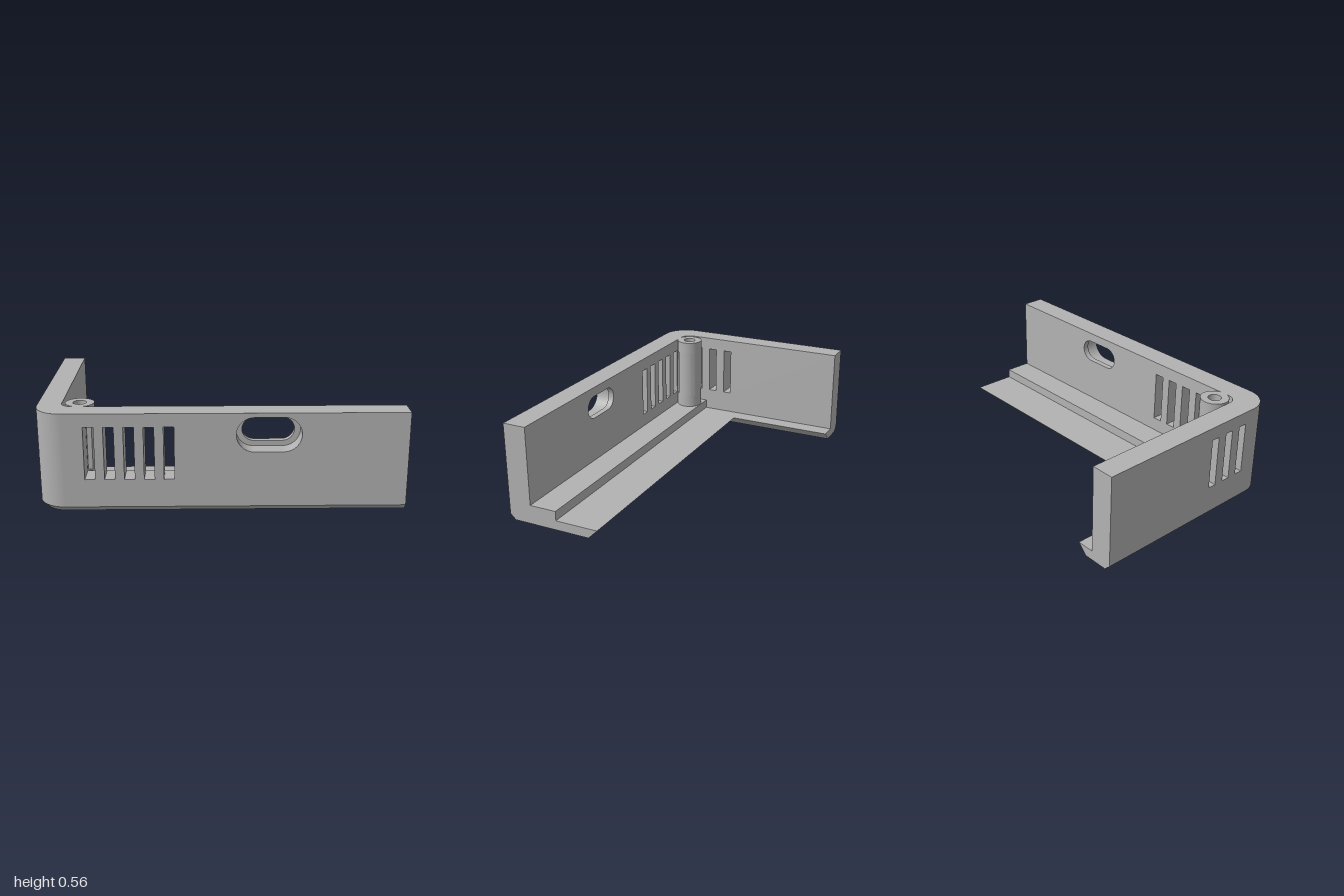
import * as THREE from 'three';
import { toCreasedNormals } from 'three/addons/utils/BufferGeometryUtils.js';

const WALL_TOP = 0.56, FLOOR = 0.055, STEP = 0.11;
const SLOT_LOW = 0.19, SLOT_HIGH = 0.485;

const V = (x, y) => new THREE.Vector2(x, y);

function rectPath(x0, x1, y0, y1) {
  return [V(x0, y0), V(x1, y0), V(x1, y1), V(x0, y1)];
}

// Rounded slot, open circle ends
function stadium(x0, x1, y0, y1) {
  const r = (y1 - y0) / 2, cy = (y0 + y1) / 2;
  const path = new THREE.Path();
  path.absarc(x1 - r, cy, r, -Math.PI / 2, Math.PI / 2, false);
  path.absarc(x0 + r, cy, r, Math.PI / 2, Math.PI * 1.5, false);
  return path;
}

function extrude(shape, depth) {
  const g = new THREE.ExtrudeGeometry(shape, { depth, bevelEnabled: false, curveSegments: 20 });
  return toCreasedNormals(g, 0.5);
}

// Extrude a plan drawn in (x, z) between two heights
function extrudeUp(shape, y0, y1) {
  return extrude(shape, y1 - y0).rotateX(Math.PI / 2).translate(0, y1, 0);
}

// L-shaped floor outline: outer edge inset by o, inner edge inset by e
function floorOutline(o, e) {
  const pts = [V(1, 0.6 - o)];
  for (let i = 0; i <= 16; i++) {
    const a = Math.PI / 2 + (i / 16) * Math.PI / 2;
    pts.push(V(-0.85 + (0.15 - o) * Math.cos(a), 0.45 + (0.15 - o) * Math.sin(a)));
  }
  pts.push(V(-1 + o, -0.6), V(-0.77 - e, -0.6), V(-0.77 - e, 0.05 + e), V(1, 0.05 + e));
  return pts;
}

// Floor with chamfered outer and bevelled inner edges, lofted through three levels
function floorGeometry() {
  const heights = [0, 0.032, FLOOR];
  const levels = heights.map((y, i) => floorOutline(i === 0 ? 0.032 : 0, FLOOR - y));
  const n = levels[0].length, pos = [];
  const put = (k, i) => pos.push(levels[k][i].x, heights[k], levels[k][i].y);
  for (let k = 0; k < 2; k++) {
    for (let i = 0; i < n; i++) {
      const j = (i + 1) % n;
      put(k, i); put(k + 1, i); put(k, j);
      put(k, j); put(k + 1, i); put(k + 1, j);
    }
  }
  for (const [k, up] of [[0, false], [2, true]]) {
    const L = levels[k];
    for (const [a, b, c] of THREE.ShapeUtils.triangulateShape(L, [])) {
      const ny = (L[b].y - L[a].y) * (L[c].x - L[a].x) - (L[b].x - L[a].x) * (L[c].y - L[a].y);
      for (const i of (ny > 0) === up ? [a, b, c] : [a, c, b]) put(k, i);
    }
  }
  const g = new THREE.BufferGeometry();
  g.setAttribute('position', new THREE.Float32BufferAttribute(pos, 3));
  g.computeVertexNormals();
  return toCreasedNormals(g, 0.4);
}

export function createModel() {
  const group = new THREE.Group();
  const grey = new THREE.MeshStandardMaterial({ color: 0xb2b2b2 });
  grey.name = 'grey plastic';
  const add = (name, geometry) => {
    const mesh = new THREE.Mesh(geometry, grey);
    mesh.name = name;
    group.add(mesh);
  };

  add('floor', floorGeometry());

  // Front wall in two layers: port recess outside, smaller port opening inside
  const frontLayer = (name, port, z0, z1) => {
    const shape = new THREE.Shape(rectPath(-0.81, 1, FLOOR, WALL_TOP));
    for (let i = 0; i < 5; i++) {
      const x = -0.71 + i * 0.1065;
      shape.holes.push(new THREE.Path(rectPath(x - 0.028, x + 0.028, SLOT_LOW, SLOT_HIGH)));
    }
    shape.holes.push(port);
    add(name, extrude(shape, z1 - z0).translate(0, 0, z0));
  };
  frontLayer('frontWallOuter', stadium(0.075, 0.425, 0.343, 0.535), 0.5, 0.6);
  frontLayer('frontWallInner', stadium(0.108, 0.392, 0.373, 0.506), 0.465, 0.5);

  // Side wall with three vents, drawn in (z, y)
  const side = new THREE.Shape(rectPath(-0.6, 0.4, FLOOR, WALL_TOP));
  for (const z of [0.15, 0.2575, 0.365]) {
    side.holes.push(new THREE.Path(rectPath(z - 0.025, z + 0.025, SLOT_LOW, SLOT_HIGH)));
  }
  add('sideWall', extrude(side, 0.13).rotateY(-Math.PI / 2).translate(-0.87, 0, 0));

  // Rounded corner joining the walls
  const corner = new THREE.Shape();
  corner.moveTo(-0.81, 0.6);
  corner.lineTo(-0.85, 0.6);
  corner.absarc(-0.85, 0.45, 0.15, Math.PI / 2, Math.PI, false);
  corner.lineTo(-1, 0.4);
  corner.lineTo(-0.87, 0.4);
  corner.absarc(-0.81, 0.405, 0.06, Math.PI, Math.PI / 2, true);
  add('cornerWall', extrudeUp(corner, FLOOR, WALL_TOP));

  // Raised ledge along the foot of the front wall
  const ledge = new THREE.BoxGeometry(1.87, STEP - FLOOR, 0.16);
  add('ledge', ledge.translate(0.065, (STEP + FLOOR) / 2, 0.385));

  // Screw post, notched where the first vent passes it
  const cx = -0.775, cz = 0.388, r = 0.08, nx = 0.037, nz = 0.049;
  const postSection = (name, notched, y0, y1) => {
    const shape = new THREE.Shape();
    if (notched) {
      shape.absarc(cx, cz, r, Math.acos(nx / r), Math.asin(nz / r) + Math.PI * 2, false);
      shape.lineTo(cx + nx, cz + nz);
    } else {
      shape.absarc(cx, cz, r, 0, Math.PI * 2, false);
    }
    const hole = new THREE.Path();
    hole.absarc(cx, cz, 0.037, 0, Math.PI * 2, true);
    shape.holes.push(hole);
    add(name, extrudeUp(shape, y0, y1));
  };
  postSection('postFoot', false, STEP, SLOT_LOW);
  postSection('postMiddle', true, SLOT_LOW, SLOT_HIGH);
  postSection('postTop', false, SLOT_HIGH, WALL_TOP);

  return group;
}
